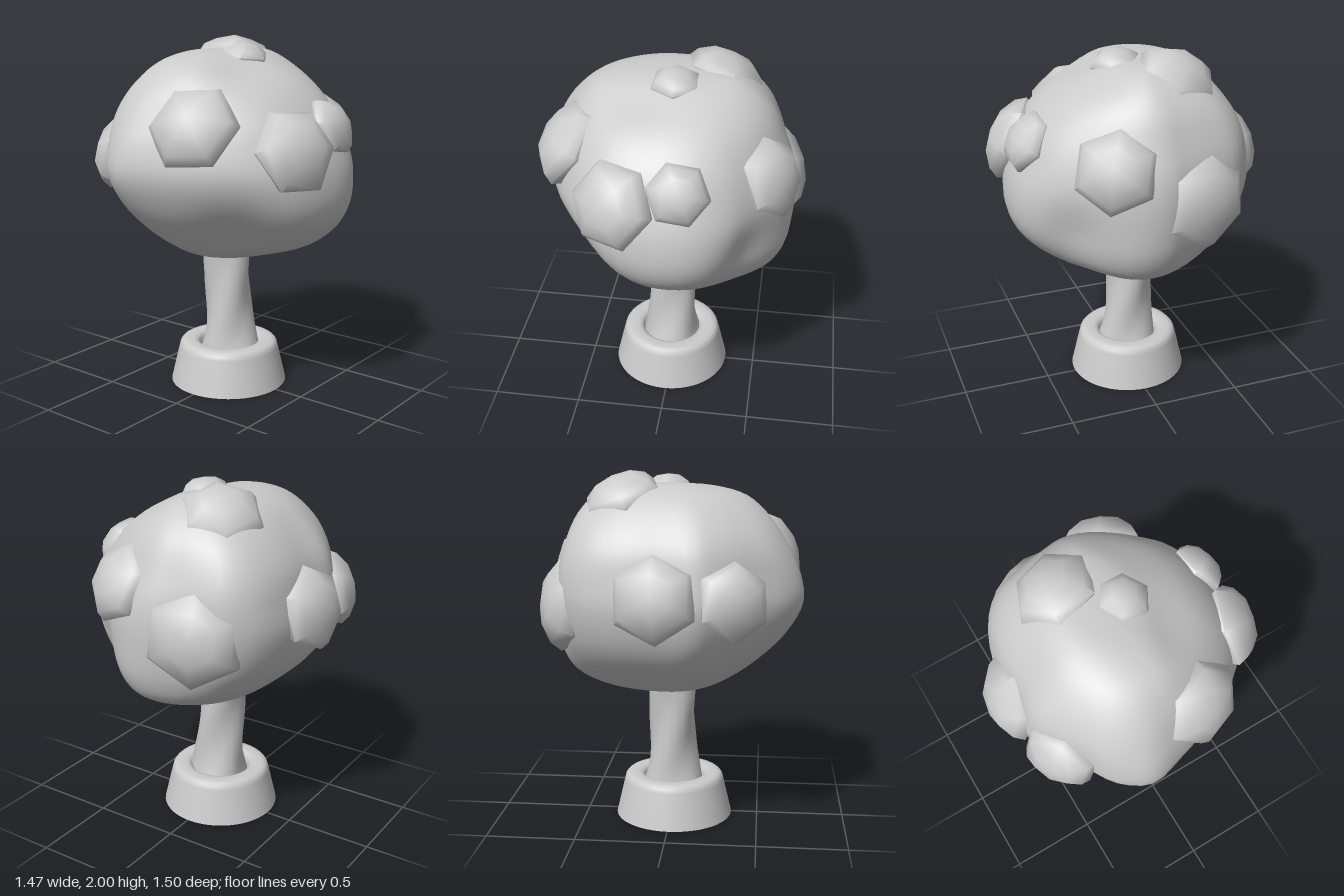
import * as THREE from 'three';
import { mergeVertices, toCreasedNormals } from 'three/addons/utils/BufferGeometryUtils.js';

const material = new THREE.MeshStandardMaterial({ color: 0xcccccc });
const doubleSided = new THREE.MeshStandardMaterial({ color: 0xcccccc, side: THREE.DoubleSide });

function addMesh(group, name, geometry, mat = material) {
  const mesh = new THREE.Mesh(geometry, mat);
  mesh.name = name;
  group.add(mesh);
  return mesh;
}

// Skin over rings of points, listed from bottom to top
function loft(rings) {
  const n = rings[0].length;
  const index = [];
  for (let j = 0; j < rings.length - 1; j++) {
    for (let i = 0; i < n; i++) {
      const a = j * n + i, b = j * n + (i + 1) % n;
      index.push(a, a + n, b, b, a + n, b + n);
    }
  }
  let geometry = new THREE.BufferGeometry().setFromPoints(rings.flat());
  geometry.setIndex(index);
  geometry = mergeVertices(geometry, 1e-4);
  geometry.computeVertexNormals();
  return geometry;
}

// Soft swellings and hollows of the crown: x, y, z, height, width
const lumps = [
  [-0.45, 0.95, 0.4, -0.07, 0.28], [0.5, 1.62, -0.35, 0.05, 0.28], [-0.42, 1.65, -0.38, 0.04, 0.28],
  [0.47, 1.1, 0.48, -0.05, 0.2], [-0.2, 1.88, 0.2, -0.03, 0.2], [0.6, 0.95, 0.15, 0.03, 0.2],
];
const crownCentre = new THREE.Vector3(0, 1.35, 0);

function addLumps(point) {
  const out = point.clone().sub(crownCentre).normalize();
  let shift = 0;
  for (const [x, y, z, height, width] of lumps) {
    const d = point.distanceTo(new THREE.Vector3(x, y, z)) / width;
    shift += height * Math.exp(-d * d);
  }
  return point.addScaledVector(out, shift);
}

// Lumpy crown: a plan outline scaled to the four extents of each level,
// fading to plain ovals towards the top and bottom
function crownGeometry() {
  const plan = [
    [0.68, 0], [0.66, 0.15], [0.57, 0.34], [0.47, 0.48], [0.36, 0.6], [0.2, 0.68], [0, 0.7],
    [-0.3, 0.64], [-0.48, 0.48], [-0.61, 0.25], [-0.69, 0], [-0.73, -0.2], [-0.63, -0.36],
    [-0.47, -0.46], [-0.33, -0.56], [-0.19, -0.64], [0, -0.62], [0.22, -0.61], [0.42, -0.54],
    [0.54, -0.42], [0.59, -0.28], [0.64, -0.12],
  ].map(([x, z]) => new THREE.Vector3(x, 0, z));
  const outline = new THREE.CatmullRomCurve3(plan, true).getPoints(66).slice(0, -1);
  // y, -x, +x, -z, +z, roundness
  const levels = [
    [0.77, 0.12, 0.18, 0.15, 0.12, 1], [0.8, 0.26, 0.4, 0.27, 0.26, 1],
    [0.88, 0.4, 0.56, 0.39, 0.5, 0.8], [1.0, 0.54, 0.63, 0.52, 0.64, 0.5],
    [1.13, 0.65, 0.665, 0.6, 0.695, 0.2], [1.3, 0.73, 0.68, 0.64, 0.69, 0],
    [1.45, 0.71, 0.66, 0.62, 0.64, 0], [1.6, 0.64, 0.6, 0.58, 0.57, 0.2],
    [1.75, 0.54, 0.53, 0.48, 0.43, 0.5], [1.86, 0.42, 0.43, 0.37, 0.25, 0.8],
    [1.92, 0.24, 0.31, 0.25, 0.11, 1],
  ];
  const columns = outline.map(p => {
    const oval = new THREE.Vector2(p.x / 0.7, p.z / 0.67).normalize();
    const points = levels.map(([y, xn, xp, zn, zp, round]) => {
      const x = THREE.MathUtils.lerp(p.x / (p.x > 0 ? 0.68 : 0.73), oval.x, round);
      const z = THREE.MathUtils.lerp(p.z / (p.z > 0 ? 0.7 : 0.65), oval.y, round);
      return new THREE.Vector3(x * (x > 0 ? xp : xn), y, z * (z > 0 ? zp : zn));
    });
    points.unshift(new THREE.Vector3(0.02, 0.765, 0));
    points.push(new THREE.Vector3(0.03, 1.935, -0.08));
    return new THREE.CatmullRomCurve3(points).getPoints(48).map(addLumps);
  });
  return loft(columns[0].map((_, j) => columns.map(c => c[j])));
}

// Twisted, three-lobed trunk flaring at the foot
function trunkGeometry() {
  const rings = [];
  const levels = 20, sides = 18;
  for (let j = 0; j <= levels; j++) {
    const t = j / levels;
    const radius = 0.12 + 0.06 * (1 - t) ** 4 + 0.015 * t;
    const ring = [];
    for (let i = 0; i < sides; i++) {
      const a = i / sides * Math.PI * 2;
      const r = radius * (1 + 0.06 * Math.cos(3 * a + t * 8 + 1.5));
      ring.push(new THREE.Vector3(r * Math.cos(a) - 0.004, 0.16 + 0.74 * t,
        r * Math.sin(a) - 0.035 * t));
    }
    rings.push(ring);
  }
  return loft(rings);
}

// Six-sided shallow dome with its apex at the origin and an embedded rim
function leafDome(r) {
  const h = r * 0.54;
  const profile = [[0.85 * r, -h - 0.07], [r, -h], [0.85 * r, -0.55 * h], [0.5 * r, -0.14 * h], [0, 0]];
  const geometry = new THREE.LatheGeometry(profile.map(([x, y]) => new THREE.Vector2(x, y)), 6);
  return toCreasedNormals(geometry, 1.05);
}

export function createModel() {
  const model = new THREE.Group();
  model.name = 'pottedTree';

  // Pot: open shell with rounded rim and a short inner collar
  const potProfile = [[0.338, 0], [0.29, 0.205], [0.284, 0.228], [0.27, 0.243], [0.247, 0.248],
    [0.205, 0.248], [0.185, 0.243], [0.17, 0.228], [0.16, 0.16]];
  const pot = addMesh(model, 'pot', toCreasedNormals(
    new THREE.LatheGeometry(potProfile.map(([x, y]) => new THREE.Vector2(x, y)), 48), 0.7), doubleSided);
  pot.position.set(-0.01, 0, -0.01);

  addMesh(model, 'trunk', trunkGeometry(), doubleSided);
  addMesh(model, 'crown', crownGeometry());

  // Leaf clumps: apex x, y, z, radius, spin
  const clumps = new THREE.Group();
  clumps.name = 'leafClumps';
  model.add(clumps);
  const up = new THREE.Vector3(0, 1, 0);
  const centre = new THREE.Vector3(0, 1.2, 0);
  [
    [-0.275, 1.5, 0.705, 0.24, 0.1], [0.12, 1.59, 0.675, 0.17, 0.5],
    [-0.65, 1.645, 0.215, 0.25, 0.4], [0.65, 1.545, 0.3, 0.23, 0],
    [0.7, 1.31, -0.28, 0.285, 0.85], [0.305, 1.965, -0.22, 0.235, 0.2],
    [0.03, 1.975, 0.075, 0.145, 0], [0.05, 1.405, -0.735, 0.24, 0],
    [-0.43, 1.38, -0.635, 0.22, 0.5],
  ].forEach(([x, y, z, r, spin]) => {
    const dome = addMesh(clumps, 'leafClump', leafDome(r));
    dome.position.set(x, y, z);
    dome.quaternion.setFromUnitVectors(up, dome.position.clone().sub(centre).normalize());
    dome.rotateY(spin);
  });

  return model;
}
